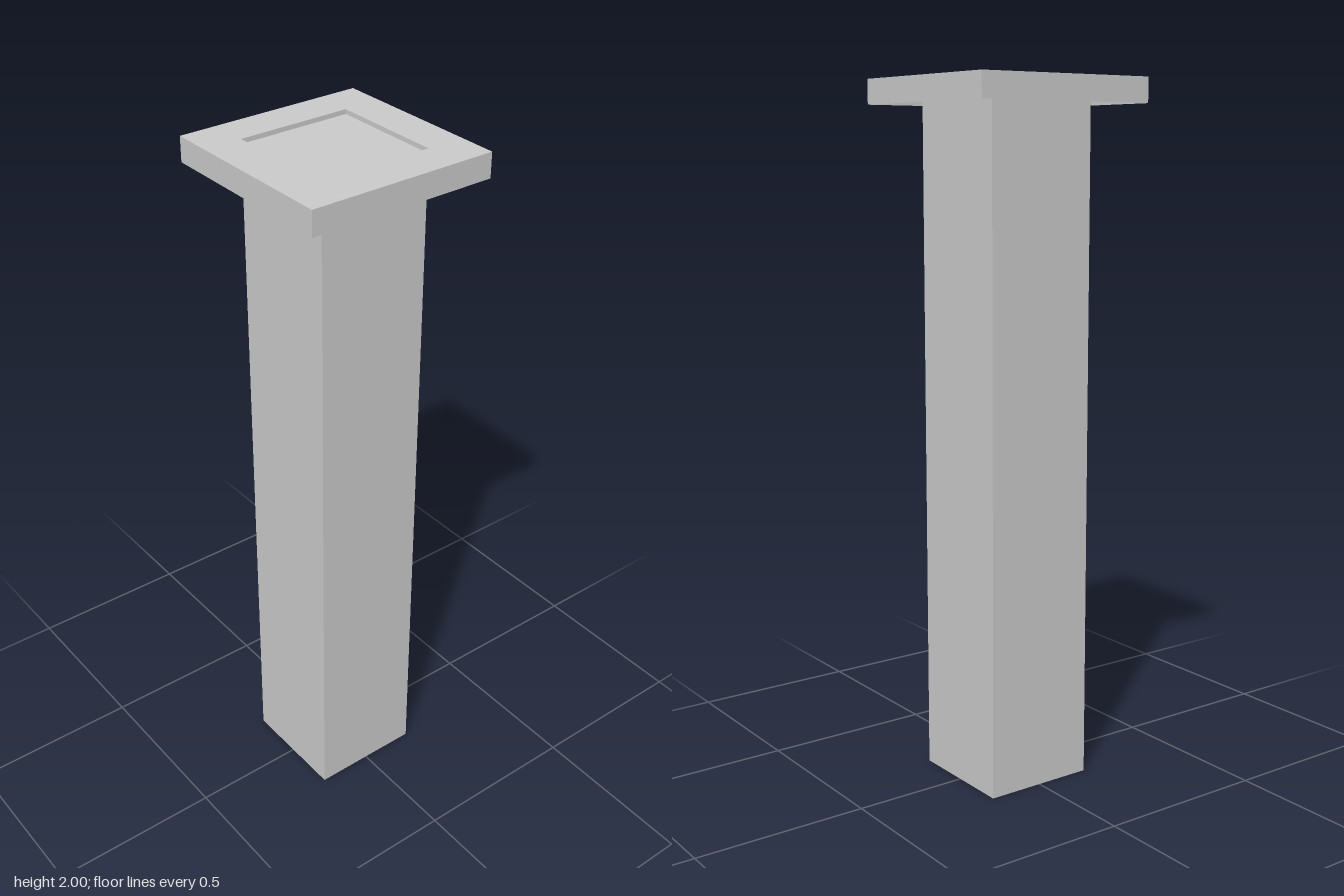
import * as THREE from 'three';

const COLUMN = 0.33, COLUMN_TOP = 1.987;
const CAP = 0.55, CAP_BOTTOM = 1.93, TOP = 2;

const solid = new THREE.MeshStandardMaterial({ color: 0xcccccc, flatShading: true });
const sheet = new THREE.MeshStandardMaterial({ color: 0xcccccc, flatShading: true, side: THREE.DoubleSide });

// Four upright sheets around a square
function squareWalls(name, size, y0, y1) {
  const walls = new THREE.Group();
  walls.name = name;
  for (let i = 0; i < 4; i++) {
    const a = i * Math.PI / 2;
    const wall = new THREE.Mesh(new THREE.PlaneGeometry(size, y1 - y0), sheet);
    wall.name = name + 'Side';
    wall.rotation.y = a;
    wall.position.set(Math.sin(a) * size / 2, (y0 + y1) / 2, Math.cos(a) * size / 2);
    walls.add(wall);
  }
  return walls;
}

function squarePath(path, size) {
  const h = size / 2;
  path.moveTo(-h, -h);
  path.lineTo(h, -h);
  path.lineTo(h, h);
  path.lineTo(-h, h);
  path.closePath();
  return path;
}

export function createModel() {
  const model = new THREE.Group();
  model.name = 'squareColumn';

  // Square shaft, ending just below the cap's top
  const shaft = new THREE.Mesh(new THREE.BoxGeometry(COLUMN, COLUMN_TOP, COLUMN), solid);
  shaft.name = 'shaft';
  shaft.position.y = COLUMN_TOP / 2;
  model.add(shaft);

  // Hollow cap, open underneath: flat top with a square opening
  const shape = squarePath(new THREE.Shape(), CAP);
  shape.holes.push(squarePath(new THREE.Path(), COLUMN));
  const capTop = new THREE.Mesh(new THREE.ShapeGeometry(shape), sheet);
  capTop.name = 'capTop';
  capTop.rotation.x = -Math.PI / 2;
  capTop.position.y = TOP;
  model.add(capTop);

  // Outer skirt and the small step down to the shaft's top
  model.add(squareWalls('capSkirt', CAP, CAP_BOTTOM, TOP));
  model.add(squareWalls('recessRim', COLUMN, COLUMN_TOP, TOP));

  return model;
}
